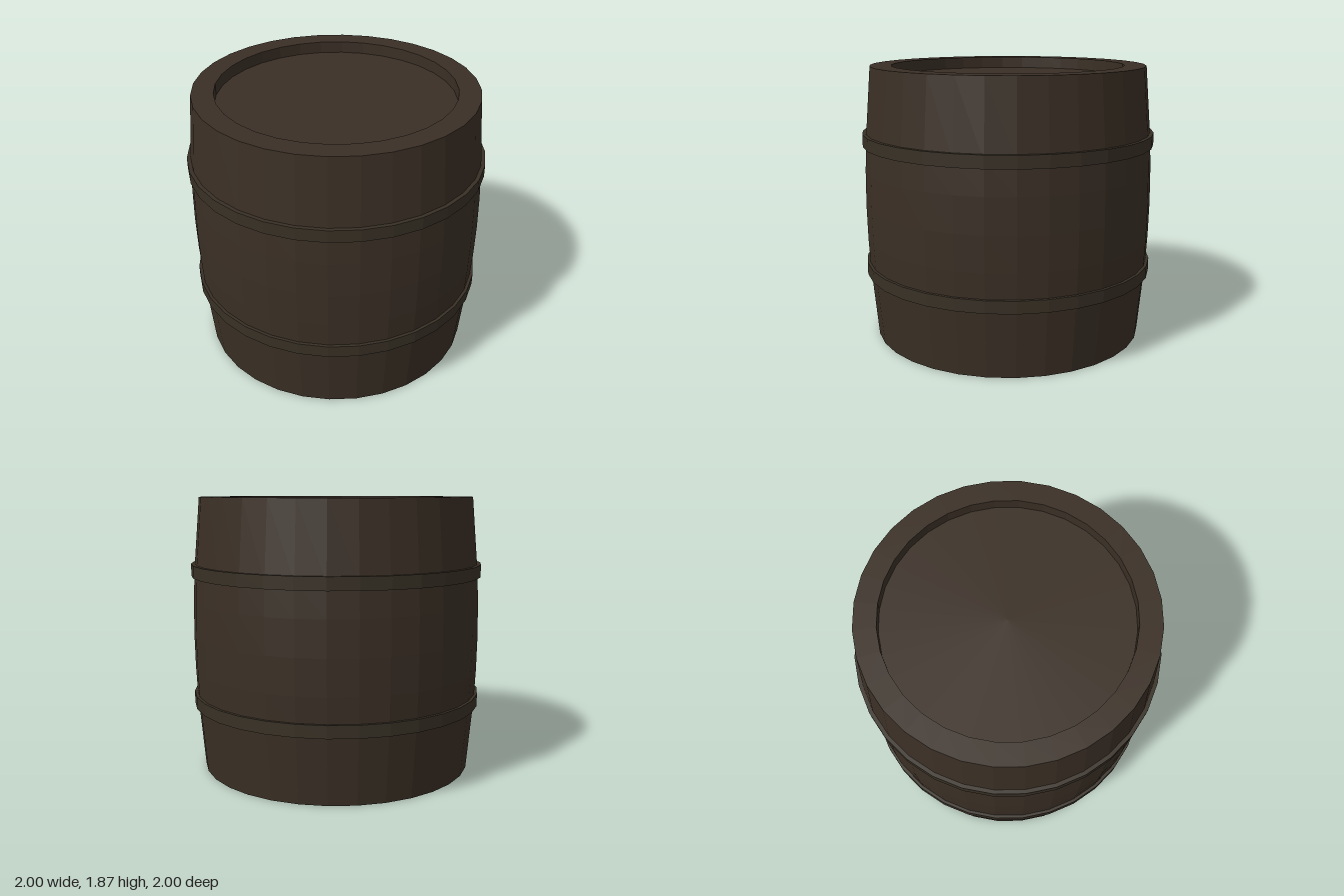
import * as THREE from 'three';

const SIDES = 32;
const HEIGHT = 1.87;

// Faceted solid of revolution; the profile runs upward along the outside
function turned(name, points, material) {
  const profile = points.map(([r, y]) => new THREE.Vector2(r, y));
  const geometry = new THREE.LatheGeometry(profile, SIDES).toNonIndexed();
  geometry.computeVertexNormals();
  const mesh = new THREE.Mesh(geometry, material);
  mesh.name = name;
  return mesh;
}

export function createModel() {
  const wood = new THREE.MeshStandardMaterial({ color: 0x3a2f25 });
  wood.name = 'dark wood';
  const iron = new THREE.MeshStandardMaterial({ color: 0x383025 });
  iron.name = 'dark iron';

  const barrel = new THREE.Group();
  barrel.name = 'barrel';

  // Bulging staves with a flat rim at each end
  barrel.add(turned('staves', [
    [0.79, 0], [0.935, 0], [0.978, 0.49], [0.988, 0.7], [0.992, HEIGHT / 2],
    [0.988, HEIGHT - 0.7], [0.978, HEIGHT - 0.49], [0.935, HEIGHT], [0.79, HEIGHT],
  ], wood));

  // Recessed lids
  barrel.add(turned('bottomLid', [[0, 0.08], [0.79, 0.08], [0.79, 0]], wood));
  barrel.add(turned('topLid', [[0.79, HEIGHT], [0.79, HEIGHT - 0.08], [0, HEIGHT - 0.08]], wood));

  // Two hoops around the staves
  for (const [name, y] of [['lowerHoop', 0.49], ['upperHoop', HEIGHT - 0.49]]) {
    barrel.add(turned(name, [
      [0.96, y - 0.042], [1, y - 0.042], [1, y + 0.042], [0.96, y + 0.042],
    ], iron));
  }
  return barrel;
}
